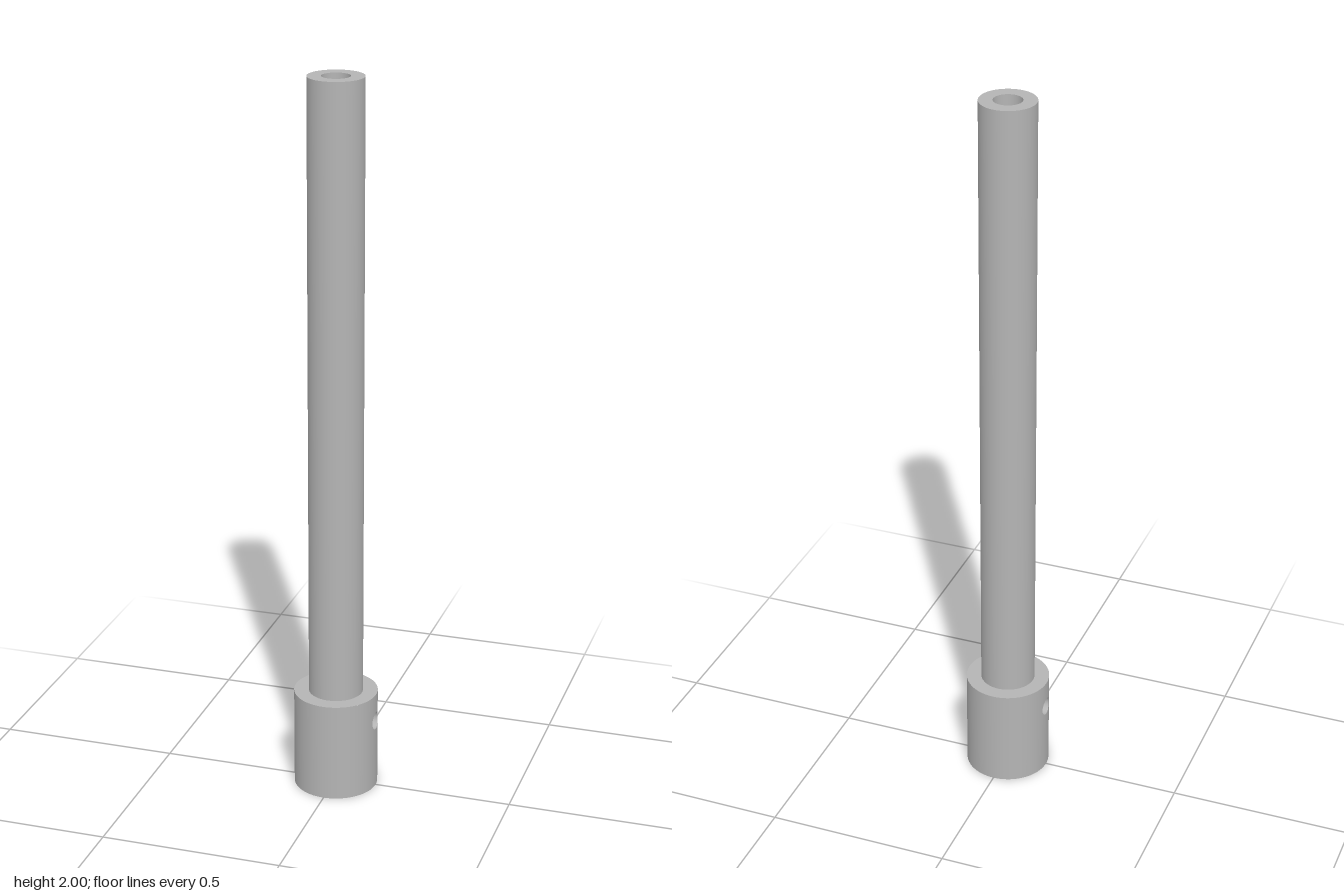
import * as THREE from 'three';
import { mergeGeometries } from 'three/addons/utils/BufferGeometryUtils.js';
import { ParametricGeometry } from 'three/addons/geometries/ParametricGeometry.js';

const COLLAR_R = 0.116, COLLAR_H = 0.28;
const TUBE_R = 0.075, BORE_R = 0.038, SOCKET_R = 0.048;
const PIN_R = 0.025, PIN_Y = 0.2;

// Surfaces of revolution, one per profile segment so every edge stays crisp
function turned(points) {
  const parts = [];
  for (let i = 0; i + 1 < points.length; i++) {
    const pair = [points[i], points[i + 1]].map(([r, y]) => new THREE.Vector2(r, y));
    parts.push(new THREE.LatheGeometry(pair, 96));
  }
  return mergeGeometries(parts);
}

// Half a cylinder wall (the +x side) with a round cross hole in it
function drilledHalf(radius, facing) {
  return new ParametricGeometry((u, v, target) => {
    const a = facing * u * Math.PI * 2;
    const c = Math.cos(a), s = Math.sin(a), m = Math.max(Math.abs(c), Math.abs(s));
    const theta = THREE.MathUtils.lerp(Math.asin(PIN_R * c / radius), Math.PI / 2 * c / m, v);
    const y = THREE.MathUtils.lerp(PIN_Y + PIN_R * s, COLLAR_H / 2 * (1 + s / m), v);
    target.set(radius * Math.cos(theta), y, radius * Math.sin(theta));
  }, 128, 20);
}

// Wall of the cross hole, running from the socket to the outer surface
function pinHoleWall() {
  return new ParametricGeometry((u, v, target) => {
    const z = PIN_R * Math.cos(u * Math.PI * 2), y = PIN_Y + PIN_R * Math.sin(u * Math.PI * 2);
    const inner = Math.sqrt(SOCKET_R ** 2 - z * z), outer = Math.sqrt(COLLAR_R ** 2 - z * z);
    target.set(THREE.MathUtils.lerp(inner, outer, v), y, z);
  }, 128, 2);
}

export function createModel() {
  const model = new THREE.Group();
  model.name = 'collaredTube';
  const metal = new THREE.MeshStandardMaterial({ color: 0xb4b4b4 });
  metal.name = 'grey metal';

  const add = (name, geometry, parent = model) => {
    const mesh = new THREE.Mesh(geometry, metal);
    mesh.name = name;
    parent.add(mesh);
    return mesh;
  };

  // Long hollow tube, its bore ending at the step of the socket
  add('tube', turned([
    [TUBE_R, COLLAR_H], [TUBE_R, 2], [BORE_R, 2], [BORE_R, COLLAR_H], [SOCKET_R, COLLAR_H],
  ]));

  // Collar with a cross hole through both sides
  const collar = new THREE.Group();
  collar.name = 'collar';
  model.add(collar);
  add('collarTop', turned([[COLLAR_R, COLLAR_H], [TUBE_R, COLLAR_H]]), collar);
  add('collarBottom', turned([[SOCKET_R, 0], [COLLAR_R, 0]]), collar);
  for (const [side, turn] of [['left', 0], ['right', Math.PI]]) {
    add(side + 'OuterWall', drilledHalf(COLLAR_R, 1), collar).rotation.y = turn;
    add(side + 'SocketWall', drilledHalf(SOCKET_R, -1), collar).rotation.y = turn;
    add(side + 'PinHole', pinHoleWall(), collar).rotation.y = turn;
  }
  return model;
}
